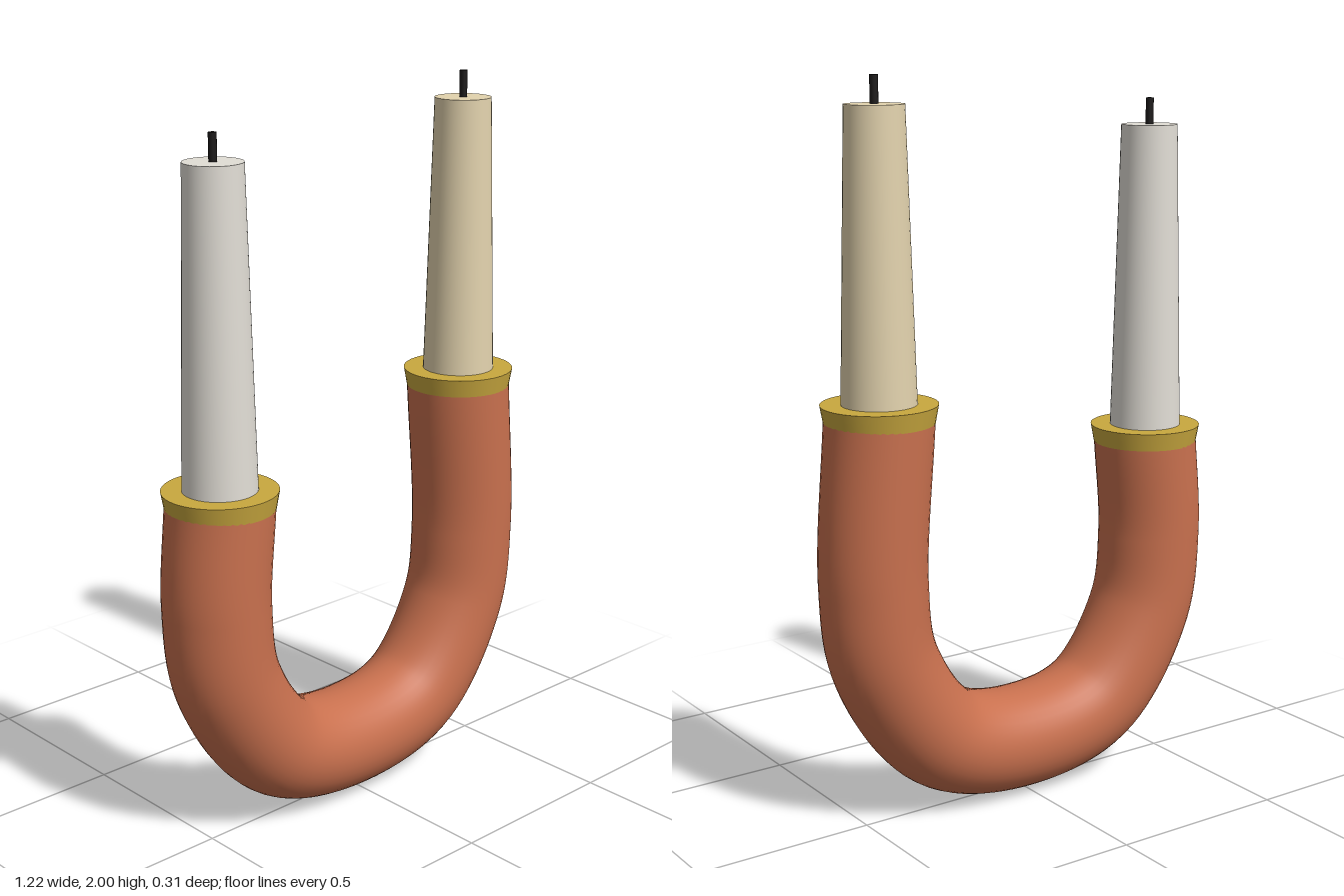
import * as THREE from 'three';

const mat = (name, color) => {
  const m = new THREE.MeshStandardMaterial({ color });
  m.name = name;
  return m;
};

export function createModel() {
  const terracotta = mat('terracotta', 0xc8704e);
  const gold = mat('gold', 0xc9a83f);
  const white = mat('white wax', 0xe2ded6);
  const cream = mat('cream wax', 0xe3d3ae);
  const black = mat('wick black', 0x1c1a1a);

  const root = new THREE.Group();
  root.name = 'candleHolder';

  const add = (parent, name, geometry, material, y = 0) => {
    const mesh = new THREE.Mesh(geometry, material);
    mesh.name = name;
    mesh.position.y = y;
    parent.add(mesh);
  };

  // U-shaped body, one arm taller than the other
  const path = new THREE.CatmullRomCurve3([
    [-0.445, 0.97], [-0.465, 0.68], [-0.432, 0.45], [-0.26, 0.21], [0, 0.15],
    [0.26, 0.21], [0.432, 0.45], [0.465, 0.68], [0.438, 1.13],
  ].map(([x, y]) => new THREE.Vector3(x, y, 0)));
  add(root, 'body', new THREE.TubeGeometry(path, 96, 0.146, 40), terracotta);

  // Flared rim, tapered candle and wick on each arm
  const arm = (name, x, rimTop, candleTop, wax) => {
    const g = new THREE.Group();
    g.name = name;
    g.position.x = x;
    const h = candleTop - rimTop;
    add(g, 'rim', new THREE.CylinderGeometry(0.155, 0.146, 0.05, 48), gold, rimTop - 0.025);
    add(g, 'candle', new THREE.CylinderGeometry(0.078, 0.1, h, 40), wax, rimTop + h / 2);
    add(g, 'wick', new THREE.CylinderGeometry(0.011, 0.011, 0.08, 12), black, candleTop + 0.032);
    root.add(g);
  };
  arm('rightArm', -0.445, 1.0, 1.848, white);
  arm('leftArm', 0.438, 1.163, 1.928, cream);

  return root;
}
